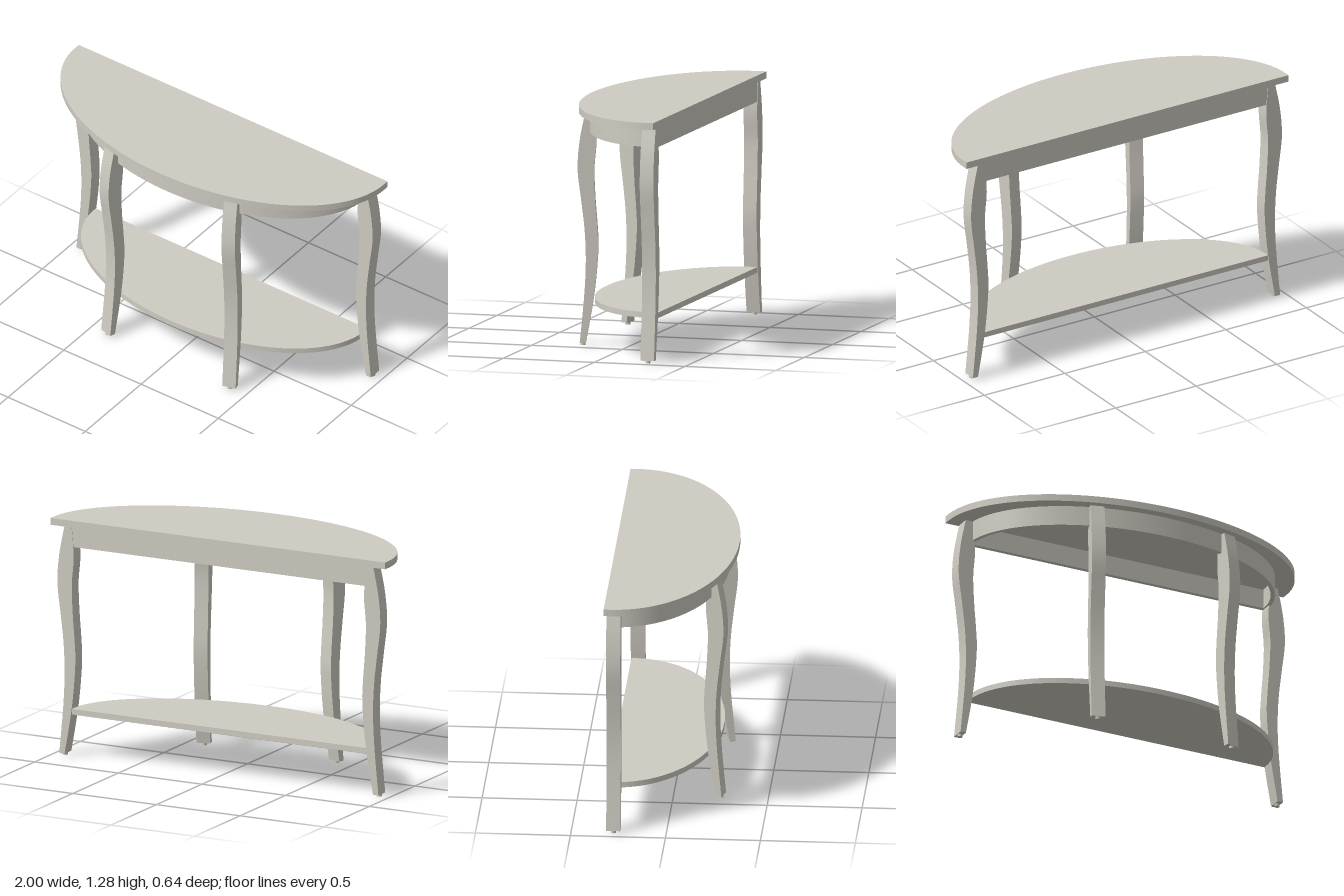
import * as THREE from 'three';
import { toCreasedNormals } from 'three/addons/utils/BufferGeometryUtils.js';

const paint = new THREE.MeshStandardMaterial({ color: 0xcfccc2 });
paint.name = 'warm grey paint';

const ELLIPSE_Z = -0.29; // centre line shared by all the half ellipses

function addMesh(parent, name, geometry) {
  const mesh = new THREE.Mesh(geometry, paint);
  mesh.name = name;
  parent.add(mesh);
  return mesh;
}

// Extrude a plan outline (x, z) downwards from the height yTop
function slab(shape, yTop, thickness) {
  const geo = new THREE.ExtrudeGeometry(shape, { depth: thickness, bevelEnabled: false, curveSegments: 64 });
  geo.rotateX(Math.PI / 2);
  geo.translate(0, yTop, 0);
  return toCreasedNormals(geo, 0.5);
}

// Half ellipse with a short straight run to the flat back edge
function halfOval(a, front, back) {
  const s = new THREE.Shape();
  s.moveTo(-a, back);
  s.lineTo(a, back);
  s.lineTo(a, ELLIPSE_Z);
  s.absellipse(0, ELLIPSE_Z, a, front - ELLIPSE_Z, 0, Math.PI, false);
  s.closePath();
  return s;
}

// Thin curved band following the half ellipse
function halfBand(a, front, t) {
  const b = front - ELLIPSE_Z;
  const s = new THREE.Shape();
  s.moveTo(a, ELLIPSE_Z);
  s.absellipse(0, ELLIPSE_Z, a, b, 0, Math.PI, false);
  s.lineTo(-a + t, ELLIPSE_Z);
  s.absellipse(0, ELLIPSE_Z, a - t, b - t, Math.PI, 0, true);
  s.closePath();
  return s;
}

// S-curved leg, offset outwards along local +x, extruded sideways
const PIVOT = 0.915;
const LEG_WIDTH = 0.075;
function legGeometry() {
  const curve = (pts) => new THREE.SplineCurve(pts.map(([x, y]) => new THREE.Vector2(x - PIVOT, y))).getPoints(40);
  const outer = curve([[0.954, 0.013], [0.93, 0.27], [0.922, 0.45], [0.928, 0.61], [0.946, 0.77],
    [0.965, 0.935], [0.954, 1.09], [0.923, 1.245]]);
  const inner = curve([[0.88, 1.245], [0.868, 1.08], [0.879, 0.93], [0.873, 0.77], [0.863, 0.64],
    [0.858, 0.5], [0.879, 0.265], [0.922, 0.013]]);
  const geo = new THREE.ExtrudeGeometry(new THREE.Shape([...outer, ...inner]), { depth: LEG_WIDTH, bevelEnabled: false });
  geo.translate(0, 0, -LEG_WIDTH / 2);
  return toCreasedNormals(geo, 0.5);
}

export function createModel() {
  const table = new THREE.Group();
  table.name = 'halfMoonTable';

  addMesh(table, 'tableTop', slab(halfOval(1, 0.32, -0.325), 1.282, 0.037));
  addMesh(table, 'shelf', slab(halfOval(0.88, 0.24, -0.312), 0.26, 0.03));
  addMesh(table, 'curvedApron', slab(halfBand(0.885, 0.27, 0.022), 1.245, 0.108));
  addMesh(table, 'backRail', new THREE.BoxGeometry(1.76, 0.108, 0.024)).position.set(0, 1.191, -0.3);

  // Four legs, each with a small foot pad
  const legGeo = legGeometry();
  const footGeo = new THREE.CylinderGeometry(0.014, 0.014, 0.014, 20);
  const tilt = THREE.MathUtils.degToRad(75);
  const legs = [
    ['backLegLeft', PIVOT, -0.2775, 0],
    ['backLegRight', -PIVOT, -0.2775, Math.PI],
    ['frontLegLeft', 0.389, 0.227, -tilt],
    ['frontLegRight', -0.389, 0.227, tilt - Math.PI],
  ];
  for (const [name, x, z, angle] of legs) {
    const leg = new THREE.Group();
    leg.name = name;
    addMesh(leg, 'curvedLeg', legGeo);
    addMesh(leg, 'footPad', footGeo).position.set(0.023, 0.007, 0);
    leg.position.set(x, 0, z);
    leg.rotation.y = angle;
    table.add(leg);
  }
  return table;
}
